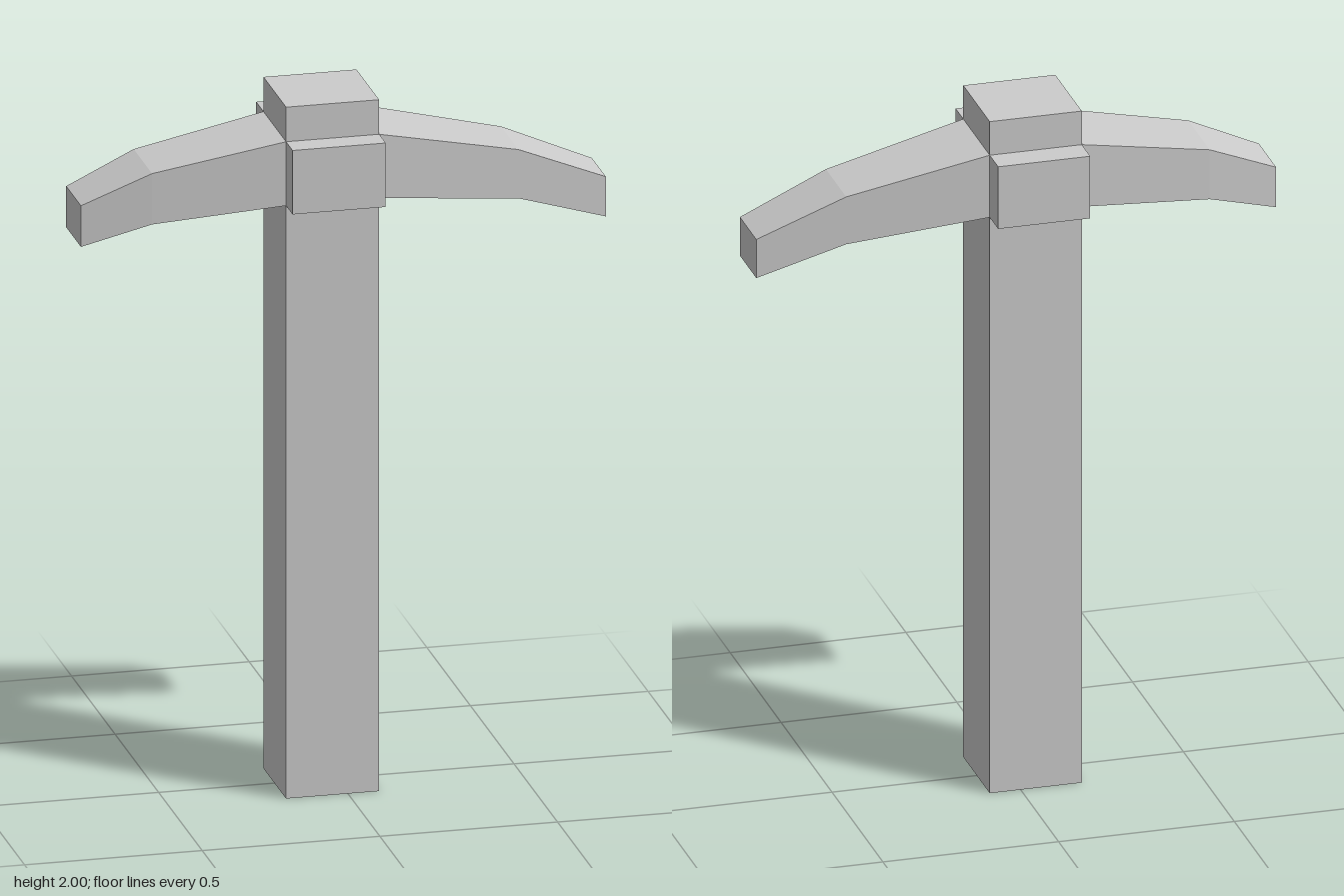
import * as THREE from 'three';

const material = new THREE.MeshStandardMaterial({ color: 0xcccccc, flatShading: true });

// Box given by its [min, max] along each axis
function box(name, [x0, x1], [y0, y1], [z0, z1]) {
  const mesh = new THREE.Mesh(new THREE.BoxGeometry(x1 - x0, y1 - y0, z1 - z0), material);
  mesh.position.set((x0 + x1) / 2, (y0 + y1) / 2, (z0 + z1) / 2);
  mesh.name = name;
  return mesh;
}

// Closed loft through rectangular sections [x, bottom, top, back, front], ordered by x
function loftSections(sections) {
  const rings = sections.map(([x, y0, y1, z0, z1]) => [[x, y0, z1], [x, y0, z0], [x, y1, z0], [x, y1, z1]]);
  const positions = [];
  const quad = (a, b, c, d) => positions.push(...a, ...b, ...c, ...a, ...c, ...d);
  for (let i = 0; i < rings.length - 1; i++) {
    for (let k = 0; k < 4; k++) {
      const n = (k + 1) % 4;
      quad(rings[i][k], rings[i][n], rings[i + 1][n], rings[i + 1][k]);
    }
  }
  quad(...[...rings[0]].reverse());
  quad(...rings[rings.length - 1]);
  const geometry = new THREE.BufferGeometry();
  geometry.setAttribute('position', new THREE.Float32BufferAttribute(positions, 3));
  geometry.computeVertexNormals();
  return geometry;
}

export function createModel() {
  const model = new THREE.Group();
  model.name = 'pickaxe';

  const width = [-0.174, 0.088];
  const collar = [1.715, 1.9];

  // Square handle running up through the head
  model.add(box('handle', width, [0, 2], [-0.127, 0.133]));

  // Collar blocks on the front and back of the handle
  model.add(box('frontCollar', width, collar, [0.133, 0.208]));
  model.add(box('backCollar', width, collar, [-0.21, -0.127]));

  // Curved head, tapering to blunt tips on both sides
  const head = new THREE.Mesh(loftSections([
    [-0.74, 1.627, 1.746, -0.082, 0.087],
    [-0.545, 1.683, 1.83, -0.103, 0.108],
    [width[0], ...collar, -0.127, 0.133],
    [width[1], ...collar, -0.127, 0.133],
    [0.488, 1.671, 1.812, -0.098, 0.101],
    [0.738, 1.592, 1.707, -0.078, 0.083],
  ]), material);
  head.name = 'head';
  model.add(head);

  return model;
}
